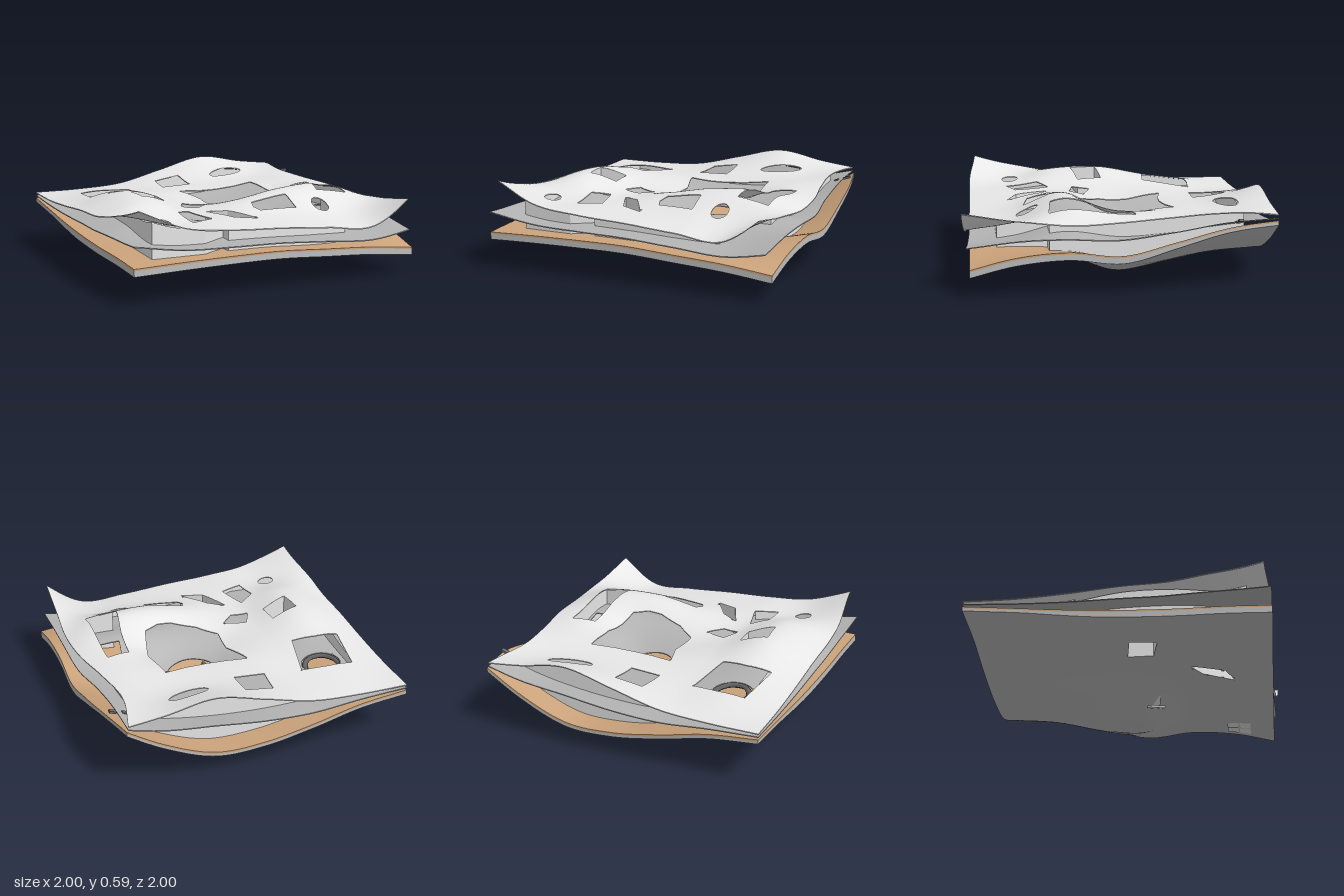
import * as THREE from 'three';

const material = (name, color) => {
  const m = new THREE.MeshStandardMaterial({ color, side: THREE.DoubleSide });
  m.name = name;
  return m;
};

// Heights on a coarse 7 x 7 lattice, rows from the back (z = -1) to the front
const BASE = [
  [.34, .30, .22, .16, .16, .29, .49],
  [.31, .28, .22, .15, .14, .25, .42],
  [.28, .26, .22, .14, .10, .18, .33],
  [.26, .25, .22, .12, .05, .15, .25],
  [.25, .25, .24, .22, .18, .22, .28],
  [.25, .25, .25, .24, .22, .23, .25],
  [.24, .25, .255, .255, .235, .21, .165]];
const ROOF = [
  [.38, .38, .40, .48, .555, .50, .46],
  [.38, .42, .41, .43, .45, .455, .50],
  [.40, .47, .44, .42, .43, .46, .46],
  [.43, .53, .44, .39, .38, .47, .44],
  [.45, .52, .43, .47, .53, .53, .42],
  [.52, .44, .43, .42, .42, .41, .49],
  [.64, .47, .42, .40, .37, .36, .59]];

// Smooth interpolation through evenly spaced values, t from -1 to 1
function smooth(values, t) {
  const n = values.length - 1, f = (t + 1) / 2 * n;
  const i = Math.min(n - 1, Math.max(0, Math.floor(f))), s = f - i;
  const b = values[i], c = values[i + 1];
  const a = i > 0 ? values[i - 1] : 2 * b - c;
  const d = i < n - 1 ? values[i + 2] : 2 * c - b;
  return b + .5 * s * (c - a + s * (2 * a - 5 * b + 4 * c - d + s * (3 * (b - c) + d - a)));
}
const ease = (a, b, t) => THREE.MathUtils.smoothstep(t, a, b);
const field = (grid) => (x, z) => smooth(grid.map((row) => smooth(row, x)), z);
const baseY = field(BASE), roofY = field(ROOF);
// The inner sheet runs halfway up, sinking towards the floor at the front
const midY = (x, z) => THREE.MathUtils.lerp(baseY(x, z), roofY(x, z), .5 - .14 * ease(.3, 1, z));
const below = (f, d) => (x, z) => f(x, z) - d;
// The slab thins towards the back
const underside = (x, z) => baseY(x, z) - .03 - .02 * ease(-.7, 0, z);

// Plan outlines: left, right and front edges of each sheet
const basePlan = {
  left: () => -1, front: () => .955,
  right: (z) => smooth([.91, .975, .995, 1, .995, .99, .985], z),
};
const midPlan = {
  left: () => -1, front: (x) => .957 + .018 * ease(.3, .9, x),
  right: (z) => smooth([.9, .9, .905, .945, .957, .955, .945], z),
};
const roofPlan = {
  left: (z) => -1 + .05 * ease(.45, .95, z),
  front: (x) => .915 + .04 * ease(-1, -.65, x) + .045 * ease(.3, .92, x),
  right: (z) => smooth([.9, .835, .87, .93, .945, .925, .91], z),
};
function planPoint(plan, u, v) {
  let z = -1 + 1.955 * v, x = 0;
  for (let k = 0; k < 3; k++) {
    x = THREE.MathUtils.lerp(plan.left(z), plan.right(z), u);
    z = -1 + v * (plan.front(x) + 1);
  }
  return [x, z];
}

// Plan shapes of the openings
const ellipse = (cx, cz, rx, rz, turn = 0) => Array.from({ length: 28 }, (_, i) => {
  const a = i / 28 * Math.PI * 2, p = rx * Math.cos(a), q = rz * Math.sin(a);
  return [cx + p * Math.cos(turn) - q * Math.sin(turn), cz + p * Math.sin(turn) + q * Math.cos(turn)];
});
const courtA = [[-.66, .03], [-.47, 0], [-.465, .17], [-.645, .21]];
const courtB = [[-.275, .4], [-.15, .475], [-.02, .695], [-.175, .63]];
const frontLight = [[.05, .43], [.3, .44], [.3, .595], [.05, .56], [.03, .5]];
const through = [courtA, courtB];
const roofHoles = [...through, frontLight,
  [[-.77, -.655], [-.58, -.655], [-.41, -.635], [-.48, -.31], [-.65, -.325], [-.82, -.305]],
  [[-.13, -.81], [.06, -.815], [.055, -.59], [-.155, -.6]],
  [[-.13, -.38], [.02, -.35], [.15, -.345], [.3, -.36], [.46, -.4], [.485, -.1], [.42, .16],
    [.32, .205], [.22, .21], [.05, .16], [-.08, .06], [-.06, -.15]],
  [[.61, -.07], [.77, -.11], [.77, .45], [.55, .43], [.6, .15]],
  [[-.31, .1], [-.16, .16], [-.25, .25], [-.37, .22]],
  [[-.5, .47], [-.39, .39], [-.33, .63], [-.49, .69]],
  ellipse(.425, -.75, .15, .055, -.28), ellipse(.49, .58, .055, .07), ellipse(-.69, .66, .055, .058)];
const midHoles = [...through, frontLight,
  ellipse(.18, -.11, .175, .175), ellipse(-.62, -.485, .135, .115), ellipse(-.69, .675, .055, .055),
  [[-.04, -.6], [0, -.66], [.055, -.69], [.055, -.59]],
  [[.61, .1], [.77, .07], [.77, .25], [.58, .27]]];

function inside(poly, x, z) {
  let hit = false;
  poly.forEach(([ax, az], i) => {
    const [bx, bz] = poly[(i + 1) % poly.length];
    if (az > z !== bz > z && x < ax + (z - az) / (bz - az) * (bx - ax)) hit = !hit;
  });
  return hit;
}
// Nearest place on an opening's edge, if it is within reach; corners come first
function snap(holes, x, z, reach) {
  let best = reach, out = [x, z];
  for (const poly of holes) poly.forEach(([ax, az], i) => {
    const [bx, bz] = poly[(i + 1) % poly.length], dx = bx - ax, dz = bz - az;
    const t = THREE.MathUtils.clamp(((x - ax) * dx + (z - az) * dz) / (dx * dx + dz * dz), 0, 1);
    const px = ax + t * dx, pz = az + t * dz, d = Math.hypot(px - x, pz - z);
    const corner = Math.hypot(ax - x, az - z);
    if (d < best) { best = d; out = [px, pz]; }
    if (corner < .8 * reach && corner * .2 < best) { best = corner * .2; out = [ax, az]; }
  });
  return out;
}

// Wavy sheet; its lattice closes up against the edges of the openings
function sheetGeometry(plan, height, holes, n = 104) {
  const pos = [], index = [], w = n + 1;
  for (let j = 0; j <= n; j++) for (let i = 0; i <= n; i++) {
    const [x, z] = snap(holes, ...planPoint(plan, i / n, j / n), 1.25 / n);
    pos.push(x, height(x, z), z);
  }
  const add = (...t) => {
    const cx = t.reduce((s, k) => s + pos[3 * k], 0) / 3;
    const cz = t.reduce((s, k) => s + pos[3 * k + 2], 0) / 3;
    if (!holes.some((h) => inside(h, cx, cz))) index.push(...t);
  };
  for (let j = 0; j < n; j++) for (let i = 0; i < n; i++) {
    const a = j * w + i;
    add(a, a + w, a + 1);
    add(a + 1, a + w, a + w + 1);
  }
  const g = new THREE.BufferGeometry();
  g.setAttribute('position', new THREE.Float32BufferAttribute(pos, 3));
  g.setIndex(index);
  g.computeVertexNormals();
  return g;
}

// Upright band along a closed plan outline, between two height rules
function bandGeometry(outline, low, high, step = .05) {
  const pos = [];
  outline.forEach(([ax, az], i) => {
    const [bx, bz] = outline[(i + 1) % outline.length];
    const n = Math.max(1, Math.ceil(Math.hypot(bx - ax, bz - az) / step));
    const at = (k) => [ax + (bx - ax) * k / n, az + (bz - az) * k / n];
    for (let k = 0; k < n; k++) {
      const [x, z] = at(k), [p, q] = at(k + 1);
      const a = [x, low(x, z), z], b = [p, low(p, q), q], c = [p, high(p, q), q], d = [x, high(x, z), z];
      pos.push(...a, ...b, ...c, ...a, ...c, ...d);
    }
  });
  const g = new THREE.BufferGeometry();
  g.setAttribute('position', new THREE.Float32BufferAttribute(pos, 3));
  g.computeVertexNormals();
  return g;
}
function perimeter(plan, n = 60) {
  const sides = [(t) => [t, 1], (t) => [1, 1 - t], (t) => [1 - t, 0], (t) => [0, t]];
  return sides.flatMap((side) => Array.from({ length: n }, (_, i) => planPoint(plan, ...side(i / n))));
}

export function createModel() {
  const group = new THREE.Group();
  const roofGrey = material('roof grey', 0xeaeaea), midGrey = material('inner grey', 0xb4b4b4);
  const slabGrey = material('slab grey', 0xbebebe), tan = material('floor tan', 0xcca47c);
  const wallWhite = material('wall white', 0xf4f4f4), dark = material('dark grey', 0x6c6c6c);
  const add = (name, geometry, mat) => {
    const mesh = new THREE.Mesh(geometry, mat);
    mesh.name = name;
    group.add(mesh);
    return mesh;
  };

  // Ground slab with a tan floor on top
  const seam = below(baseY, .012);
  add('floor', sheetGeometry(basePlan, baseY, through), tan);
  add('slabUnderside', sheetGeometry(basePlan, underside, through), slabGrey);
  add('floorEdge', bandGeometry(perimeter(basePlan), seam, baseY), tan);
  add('slabEdge', bandGeometry(perimeter(basePlan), underside, seam), slabGrey);

  // Inner sheet and roof, with edges and opening rims
  for (const [name, plan, y, holes, mat] of [
    ['innerSheet', midPlan, midY, midHoles, midGrey], ['roof', roofPlan, roofY, roofHoles, roofGrey]]) {
    add(name, sheetGeometry(plan, y, holes), mat);
    for (const outline of [perimeter(plan), ...holes])
      add(name + 'Rim', bandGeometry(outline, below(y, .007), y), mat);
  }

  // Shafts through the whole building and the room walls
  for (const court of through) add('courtShaft', bandGeometry(court, underside, below(roofY, .004)), wallWhite);
  const rooms = [[-.82, .8], [-.47, .82], [-.3, .72], [-.3, .8], [.57, .78], [.57, .45], [.79, .45],
    [.79, -.8], [-.78, -.85]];
  add('roomWalls', bandGeometry(rooms, baseY, below(roofY, .008)), wallWhite);

  // Curved dark counter under the back opening
  const counter = new THREE.CatmullRomCurve3([[-.62, -.565], [-.51, -.57], [-.51, -.47], [-.57, -.4],
    [-.67, -.4], [-.73, -.47], [-.735, -.54]].map(([x, z]) => new THREE.Vector3(x, midY(x, z) - .01, z)));
  add('curvedCounter', new THREE.TubeGeometry(counter, 40, .02, 4), dark);

  // Straight members laid between two points
  const beam = (name, a, b, width, thick, mat) => {
    const from = new THREE.Vector3(...a), to = new THREE.Vector3(...b);
    const m = add(name, new THREE.BoxGeometry(width, thick, from.distanceTo(to)), mat);
    m.position.copy(from).add(to).multiplyScalar(.5);
    m.lookAt(to);
  };
  beam('hallBeam', [.05, .22, -.23], [.05, .22, .01], .02, .02, dark);
  beam('hallBeam', [.27, .22, -.26], [.33, .22, -.03], .025, .02, dark);
  for (const [a, b] of [[.84, .865], [.905, .95]])
    beam('sideBrace', [a, midY(a, -.75), -.75], [b, midY(b, -.75), -.75], .03, .015, dark);

  // Folded entrance stair below the slab
  beam('lowerFlight', [-.04, .01, .16], [.11, .07, .12], .1, .016, wallWhite);
  beam('upperFlight', [.12, .07, .12], [-.05, .155, .14], .08, .016, wallWhite);

  // Paved panels under the front corner
  for (const x of [.72, .83]) for (const z of [.61, .7]) {
    const panel = { left: () => x, right: () => x + .1, front: () => z + .08 };
    const g = sheetGeometry(panel, () => 0, [], 4), p = g.attributes.position;
    for (let i = 0; i < p.count; i++) {
      const pz = z + .08 * Math.floor(i / 5) / 4;
      p.setXYZ(i, p.getX(i), underside(p.getX(i), pz) - .004, pz);
    }
    g.computeVertexNormals();
    add('pavedPanel', g, roofGrey);
  }
  return group;
}
